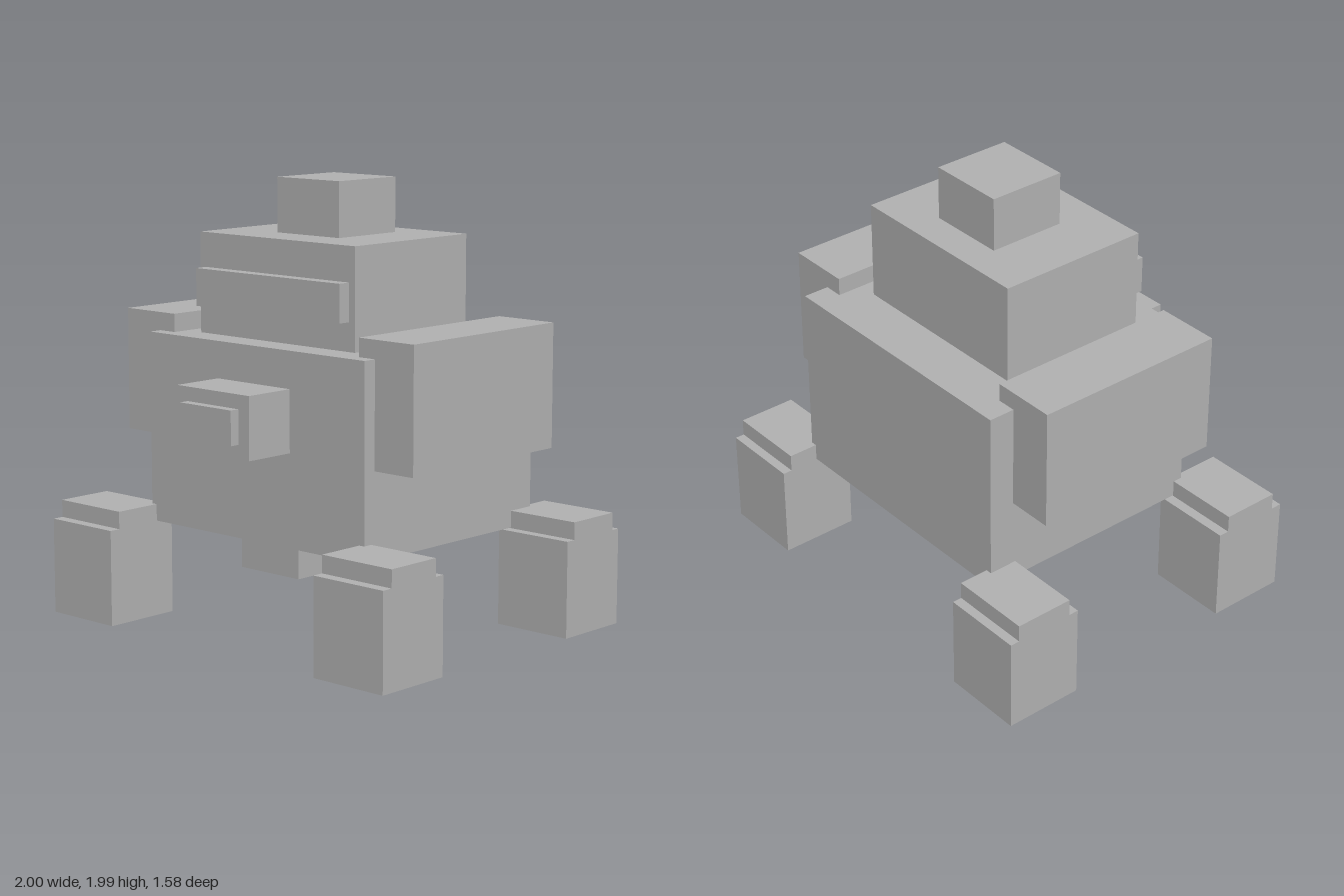
import * as THREE from 'three';

export function createModel() {
  const group = new THREE.Group();
  const grey = new THREE.MeshStandardMaterial({ color: 0xb2b2b2 });
  grey.name = 'grey';

  // Box given by its [min, max] range on each axis
  function block(name, [x0, x1], [y0, y1], [z0, z1]) {
    const mesh = new THREE.Mesh(new THREE.BoxGeometry(x1 - x0, y1 - y0, z1 - z0), grey);
    mesh.position.set((x0 + x1) / 2, (y0 + y1) / 2, (z0 + z1) / 2);
    mesh.name = name;
    group.add(mesh);
  }
  const centred = (half) => [-half, half];
  const sided = (side, a, b) => (side > 0 ? [a, b] : [-b, -a]);

  // Body, head and top block
  block('body', centred(0.645), [0.437, 1.295], [-0.608, 0.5]);
  block('head', centred(0.463), [1.295, 1.745], [-0.364, 0.36]);
  block('topBlock', centred(0.185), [1.745, 1.99], [-0.208, 0.157]);

  // Visor on the head, snout on the body
  block('visor', centred(0.43), [1.422, 1.59], [0.36, 0.42]);
  block('snout', centred(0.216), [0.853, 1.13], [0.5, 0.745]);
  block('snoutTip', centred(0.153), [0.915, 1.067], [0.745, 0.79]);

  // Side pods and four feet with narrower caps
  for (const side of [1, -1]) {
    const label = side > 0 ? 'left' : 'right';
    block(label + 'Pod', sided(side, 0.555, 0.858), [0.823, 1.377], [-0.485, 0.437]);
    const footX = sided(side, 0.617, 1);
    block(label + 'FrontFoot', footX, [0, 0.434], [0.408, 0.78]);
    block(label + 'FrontFootCap', footX, [0.434, 0.513], [0.456, 0.728]);
    block(label + 'RearFoot', footX, [0, 0.434], [-0.793, -0.425]);
    block(label + 'RearFootCap', footX, [0.434, 0.513], [-0.749, -0.473]);
  }
  return group;
}
